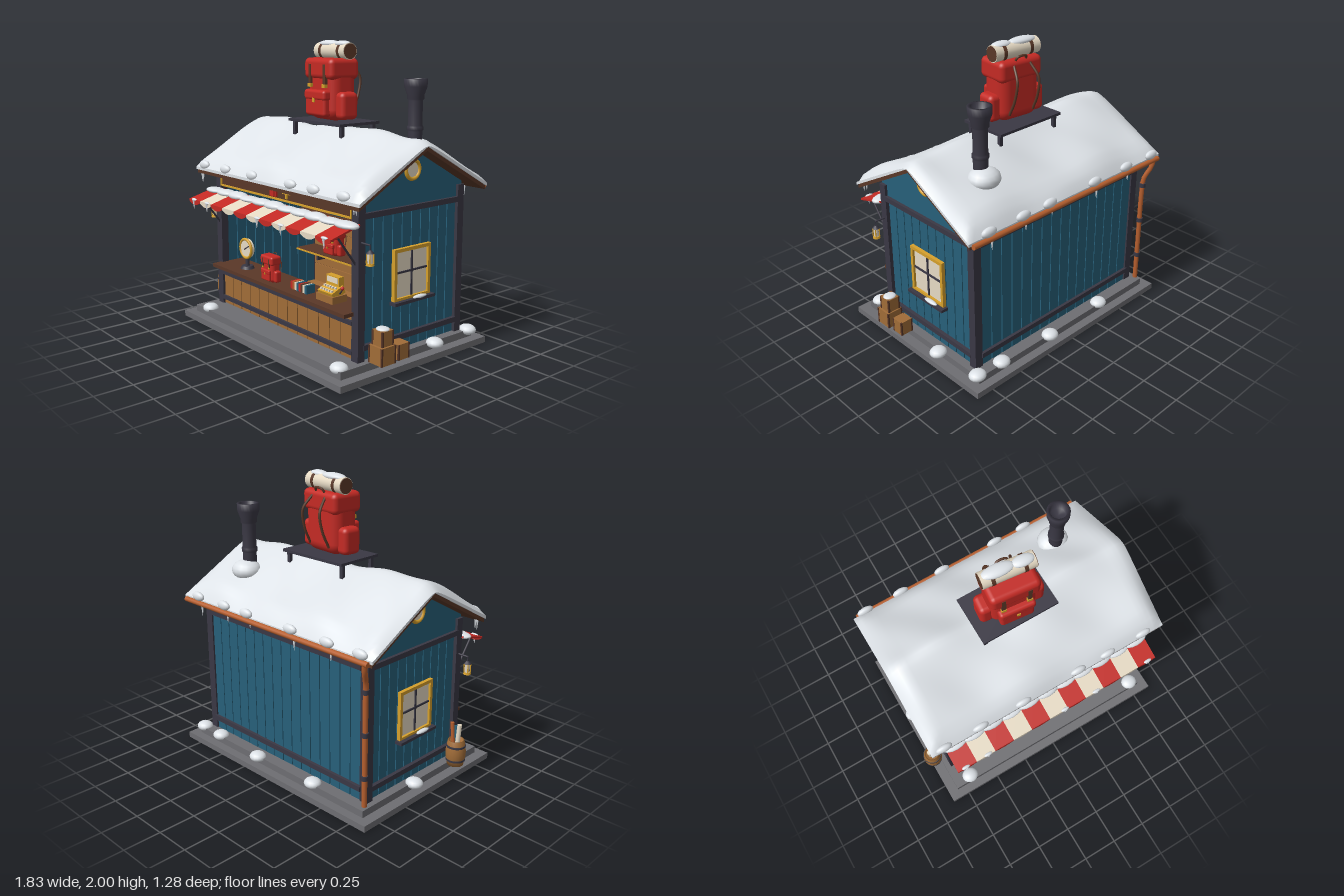
import * as THREE from 'three';
import { RoundedBoxGeometry } from 'three/addons/geometries/RoundedBoxGeometry.js';

const material = (name, color) => Object.assign(new THREE.MeshStandardMaterial({ color }), { name });
const M = {
  red: material('red canvas', 0xc42a24), blue: material('blue paint', 0x27607a),
  snow: material('snow', 0xe0e5ea), dark: material('dark iron', 0x3a3844),
  brown: material('dark brown', 0x5a3828), tan: material('tan wood', 0xa06c38),
  gold: material('gold', 0xd6a02c), cream: material('cream', 0xe6dac4),
  grey: material('grey stone', 0x6e6e72), copper: material('copper', 0xb8602f),
};

// Helpers
function add(parent, name, geo, mat, x = 0, y = 0, z = 0) {
  const m = new THREE.Mesh(geo, mat);
  m.name = name;
  m.position.set(x, y, z);
  parent.add(m);
  return m;
}
function group(parent, name, x = 0, y = 0, z = 0) {
  const g = new THREE.Group();
  g.name = name;
  g.position.set(x, y, z);
  parent.add(g);
  return g;
}
const box = (p, n, mat, w, h, d, x, y, z) => add(p, n, new THREE.BoxGeometry(w, h, d), mat, x, y, z);
const soft = (p, n, mat, w, h, d, x, y, z, k = 0.3) =>
  add(p, n, new RoundedBoxGeometry(w, h, d, 3, Math.min(w, h, d) * k), mat, x, y, z);
const cyl = (p, n, mat, r1, r2, h, x, y, z, seg = 20) =>
  add(p, n, new THREE.CylinderGeometry(r1, r2, h, seg), mat, x, y, z);
function rod(p, n, mat, a, b, r) {
  const A = new THREE.Vector3(...a), B = new THREE.Vector3(...b), d = B.clone().sub(A);
  const m = cyl(p, n, mat, r, r, d.length(), ...A.clone().add(B).multiplyScalar(0.5).toArray(), 10);
  m.quaternion.setFromUnitVectors(new THREE.Vector3(0, 1, 0), d.normalize());
  return m;
}
const tube = (p, n, mat, pts, r) =>
  add(p, n, new THREE.TubeGeometry(new THREE.CatmullRomCurve3(pts.map(a => new THREE.Vector3(...a))), 24, r, 8), mat);
const lump = (p, n, rx, ry, rz, x, y, z) => {
  const m = add(p, n, new THREE.SphereGeometry(1, 16, 10), M.snow, x, y, z);
  m.scale.set(rx, ry, rz);
  return m;
};
const icicle = (p, h, x, y, z) => { cyl(p, 'icicle', M.snow, 0.011, 0.001, h, x, y - h / 2, z, 8); };
// Profile given as [z, y] points, extruded along x
function extrudeX(points, width) {
  const g = new THREE.ExtrudeGeometry(new THREE.Shape(points.map(q => new THREE.Vector2(...q))), { depth: width, bevelEnabled: false });
  return g.translate(0, 0, -width / 2).rotateY(-Math.PI / 2);
}
const RIDGE = -0.045;
const roofY = z => 1.38 - 0.55 * Math.abs(z - RIDGE);

// Backpack standing on y = 0, front towards +z
function backpack(parent, name, mat, w, h, d, x, y, z, sides = false) {
  const g = group(parent, name, x, y, z);
  soft(g, 'body', mat, w, h * 0.96, d, 0, h * 0.48, 0, 0.35);
  soft(g, 'topFlap', mat, w * 1.04, h * 0.34, d * 1.1, 0, h * 0.83, 0.01 * h, 0.25);
  soft(g, 'frontPocket', mat, w * 0.72, h * 0.4, d * 0.34, 0, h * 0.27, d * 0.5);
  soft(g, 'pocketFlap', mat, w * 0.76, h * 0.17, d * 0.38, 0, h * 0.41, d * 0.51);
  box(g, 'pocketBuckle', M.gold, w * 0.07, h * 0.07, 0.008, 0, h * 0.33, d * 0.7);
  for (const s of [-1, 1]) {
    box(g, 'strap', M.brown, w * 0.085, h * 0.36, d * 0.1, s * w * 0.27, h * 0.72, d * 0.53);
    box(g, 'buckle', M.gold, w * 0.11, h * 0.06, d * 0.1, s * w * 0.27, h * 0.56, d * 0.55);
    if (sides) soft(g, 'sidePocket', mat, w * 0.3, h * 0.44, d * 0.65, s * w * 0.54, h * 0.25, 0, 0.35);
    tube(g, 'shoulderStrap', M.brown, [[s * w * 0.2, h * 0.92, -d * 0.5], [s * w * 0.27, h * 0.7, -d * 0.8],
      [s * w * 0.29, h * 0.4, -d * 0.72], [s * w * 0.3, h * 0.13, -d * 0.48]], w * 0.028);
  }
  tube(g, 'handle', M.brown, [[-w * 0.14, h * 0.95, -d * 0.4], [-w * 0.1, h * 1.04, -d * 0.5],
    [w * 0.1, h * 1.04, -d * 0.5], [w * 0.14, h * 0.95, -d * 0.4]], w * 0.025);
  return g;
}

function buildWalls(root) {
  const g = group(root, 'walls');
  box(g, 'lowerSlab', M.grey, 1.76, 0.042, 1.28, 0, 0.021, 0);
  box(g, 'upperSlab', M.grey, 1.62, 0.048, 1.16, 0, 0.066, 0);
  box(g, 'floor', M.tan, 1.44, 0.01, 0.85, 0, 0.095, -0.045);
  for (const s of [-1, 1]) {
    for (const z of [0.383, -0.477]) box(g, 'cornerPost', M.dark, 0.06, 1.0, 0.055, s * 0.742, 0.585, z);
    for (let i = 0; i < 10; i++) box(g, 'sidePlank', M.blue, 0.03, 0.94, 0.073, s * 0.735, 0.56, 0.314 - i * 0.0805);
    for (const y of [0.175, 0.99]) box(g, 'sideRail', M.dark, 0.025, 0.035, 0.82, s * 0.762, y, -0.047);
    const gable = [[-0.5, 1.0], [0.41, 1.0], [0.41, roofY(0.41)], [RIDGE, roofY(RIDGE)], [-0.5, roofY(-0.5)]];
    add(g, 'gable', extrudeX(gable, 0.03), M.blue, s * 0.738, -0.004, 0);
    // Round gable vent
    const vent = group(g, 'gableVent', s * 0.755, 1.225, RIDGE);
    vent.rotation.y = s * Math.PI / 2;
    add(vent, 'ring', new THREE.TorusGeometry(0.058, 0.013, 10, 28), M.gold);
    add(vent, 'pane', new THREE.CircleGeometry(0.055, 28), M.cream, 0, 0, 0.003);
    // Side window
    const win = group(g, 'window', s * 0.755, 0.575, RIDGE);
    win.rotation.y = s * Math.PI / 2;
    box(win, 'pane', M.cream, 0.29, 0.31, 0.008, 0, 0, 0);
    for (const k of [-1, 1]) {
      box(win, 'frameSide', M.gold, 0.022, 0.335, 0.03, k * 0.147, 0, 0.005);
      box(win, 'frameEdge', M.gold, 0.316, 0.022, 0.03, 0, k * 0.158, 0.005);
    }
    box(win, 'mullion', M.dark, 0.012, 0.3, 0.012, 0, 0, 0.006);
    box(win, 'crossbar', M.dark, 0.28, 0.012, 0.012, 0, 0.015, 0.006);
    box(win, 'sill', M.dark, 0.35, 0.02, 0.06, 0, -0.173, 0.018);
    lump(win, 'sillSnow', 0.06, 0.012, 0.018, 0.05, -0.16, 0.035);
  }
  // Back wall, planked outside and lined inside
  for (let i = 0; i < 16; i++) box(g, 'backPlank', M.blue, 0.082, 1.02, 0.025, -0.667 + i * 0.089, 0.6, -0.483);
  for (const y of [0.175, 0.99]) box(g, 'backRail', M.dark, 1.44, 0.035, 0.025, 0, y, -0.503);
  for (let i = 0; i < 7; i++) box(g, 'liningBoard', M.tan, 1.43, 0.138, 0.015, 0, 0.17 + i * 0.144, -0.462);
  box(g, 'liningBacking', M.brown, 1.43, 1.0, 0.006, 0, 0.6, -0.469);
}

function buildRoof(root) {
  const g = group(root, 'roof');
  const t = 0.026, f = 0.5, b = -0.59;
  add(g, 'roofBoards', extrudeX([[b, roofY(b) - t], [RIDGE, 1.38 - t], [f, roofY(f) - t], [f, roofY(f)], [RIDGE, 1.38], [b, roofY(b)]], 1.75), M.brown);
  // Wavy snow blanket that thins towards its edges
  const geo = new THREE.BoxGeometry(1.77, 1, 1.1, 48, 1, 36), p = geo.attributes.position;
  for (let i = 0; i < p.count; i++) {
    const x = p.getX(i), z = p.getZ(i) + RIDGE;
    const edge = Math.min(0.885 - Math.abs(x), 0.55 - Math.abs(z - RIDGE));
    const thick = 0.015 + Math.sqrt(Math.min(1, Math.max(0, edge) / 0.1)) *
      (0.052 + 0.012 * Math.sin(x * 7 + z * 5) + 0.008 * Math.sin(x * 13 - z * 11 + 1));
    const base = 1.38 - 0.55 * (Math.sqrt((z - RIDGE) ** 2 + 0.0012) - 0.012);
    p.setXYZ(i, x, p.getY(i) > 0 ? base + thick : roofY(z) + 0.001, z);
  }
  geo.computeVertexNormals();
  add(g, 'roofSnow', geo, M.snow);
  [-0.79, -0.52, -0.2, 0.22, 0.45, 0.73].forEach((x, i) => {
    for (const z of [0.492, -0.598]) lump(g, 'eaveSnow', 0.058, 0.032, 0.025, x, 1.12, z);
    icicle(g, 0.05 + 0.02 * (i % 3), x - 0.03, 1.075, -0.59);
  });
  for (const x of [-0.83, -0.815, 0.82, 0.84]) icicle(g, x < 0 ? 0.09 : 0.06, x, 1.085, 0.49);
  // Gutter and downspout
  rod(g, 'gutter', M.copper, [-0.86, 1.075, -0.605], [0.86, 1.075, -0.605], 0.018);
  tube(g, 'downspout', M.copper, [[-0.825, 1.08, -0.6], [-0.82, 1.02, -0.59], [-0.795, 0.92, -0.55], [-0.79, 0.8, -0.545], [-0.79, 0.4, -0.545], [-0.79, 0.1, -0.545]], 0.017);
  for (const y of [0.3, 0.59, 0.87]) cyl(g, 'pipeClamp', M.dark, 0.023, 0.023, 0.03, -0.79, y, -0.546, 14);
  // Chimney
  const profile = [[0, 1.15], [0.047, 1.15], [0.047, 1.42], [0.054, 1.43], [0.054, 1.45], [0.047, 1.46], [0.047, 1.62], [0.056, 1.63], [0.056, 1.655], [0.075, 1.71], [0.076, 1.758], [0.055, 1.758], [0.05, 1.7], [0, 1.7]];
  add(g, 'chimney', new THREE.LatheGeometry(profile.map(a => new THREE.Vector2(...a)), 24), M.dark, 0.52, 0, -0.3);
  lump(g, 'chimneySnow', 0.11, 0.07, 0.1, 0.52, 1.3, -0.33);
}

function buildRoofPack(root) {
  const stand = group(root, 'roofStand');
  box(stand, 'platform', M.dark, 0.545, 0.018, 0.345, 0, 1.463, -0.045);
  for (const x of [-0.245, 0.245]) for (const z of [0.09, -0.18]) box(stand, 'leg', M.dark, 0.025, 0.1, 0.025, x, 1.41, z);
  const g = backpack(root, 'roofBackpack', M.red, 0.32, 0.41, 0.21, 0, 1.475, -0.03, true);
  g.rotation.y = -0.1;
  const roll = group(g, 'bedroll', 0, 0.455, -0.025);
  const part = (n, m, r, w, x) => { cyl(roll, n, m, r, r, w, x, 0, 0, 24).rotation.z = Math.PI / 2; };
  part('rolledBlanket', M.cream, 0.055, 0.35, 0);
  for (const s of [-1, 1]) {
    part('rollEnd', M.brown, 0.05, 0.006, s * 0.176);
    part('rollStrap', M.brown, 0.058, 0.024, s * 0.105);
  }
  lump(roll, 'rollSnow', 0.11, 0.025, 0.045, -0.06, 0.046, 0);
  lump(roll, 'rollSnow', 0.075, 0.023, 0.04, 0.1, 0.046, 0.005);
}

function buildFront(root) {
  const g = group(root, 'shopFront');
  // Counter
  box(g, 'counterBacking', M.brown, 1.42, 0.28, 0.015, 0, 0.235, 0.375);
  for (let i = 0; i < 13; i++) box(g, 'counterPlank', M.tan, 0.102, 0.28, 0.02, -0.654 + i * 0.109, 0.235, 0.388);
  for (const y of [0.14, 0.328]) box(g, 'counterRail', M.dark, 1.44, 0.028, 0.02, 0, y, 0.405);
  box(g, 'counterTop', M.brown, 1.46, 0.024, 0.25, 0, 0.39, 0.36);
  // Sign board
  box(g, 'signBoard', M.brown, 1.42, 0.14, 0.02, 0, 1.04, 0.395);
  for (const s of [-1, 1]) {
    box(g, 'signFrameEdge', M.gold, 1.42, 0.012, 0.012, 0, 1.04 + s * 0.063, 0.409);
    box(g, 'signFrameSide', M.gold, 0.012, 0.13, 0.012, s * 0.704, 1.04, 0.409);
  }
  soft(g, 'signPack', M.red, 0.07, 0.085, 0.02, -0.07, 1.03, 0.41);
  box(g, 'signPackPocket', M.red, 0.045, 0.035, 0.01, -0.07, 1.012, 0.422);
  box(g, 'signCross', M.gold, 0.08, 0.02, 0.01, 0.07, 1.032, 0.41);
  box(g, 'signCross', M.gold, 0.02, 0.08, 0.01, 0.07, 1.032, 0.41);
  // Striped awning with scalloped edge
  const awning = group(root, 'awning');
  const scallop = new THREE.Shape();
  scallop.moveTo(-0.071, 0); scallop.lineTo(-0.071, -0.014);
  scallop.quadraticCurveTo(0, -0.058, 0.071, -0.014); scallop.lineTo(0.071, 0);
  const scallopGeo = new THREE.ExtrudeGeometry(scallop, { depth: 0.008, bevelEnabled: false });
  for (let i = 0; i < 11; i++) {
    const mat = i % 2 ? M.cream : M.red, x = (i - 5) * 0.142;
    box(awning, 'stripe', mat, 0.142, 0.012, 0.23, x, 0.917, 0.518).rotation.x = 0.266;
    add(awning, 'valance', scallopGeo, mat, x, 0.894, 0.624);
    lump(awning, 'awningSnow', 0.1, 0.02 + 0.005 * (i % 3), 0.055, x, 0.942, 0.452);
  }
  for (const x of [-0.72, -0.55, 0.05, 0.3, 0.72]) {
    lump(awning, 'edgeSnow', 0.03, 0.01, 0.012, x, 0.893, 0.627);
    icicle(awning, 0.055, x, 0.885, 0.63);
  }
  for (const s of [-1, 1]) {
    rod(awning, 'strut', M.dark, [s * 0.74, 0.7, 0.405], [s * 0.74, 0.905, 0.56], 0.007);
    // Hanging lantern
    const l = group(root, 'lantern', s * 0.845, 0, 0.385);
    rod(l, 'bracket', M.dark, [-s * 0.08, 0.835, 0], [0, 0.835, 0], 0.006);
    rod(l, 'hook', M.dark, [0, 0.838, 0], [0, 0.8, 0], 0.004);
    cyl(l, 'cap', M.dark, 0.008, 0.026, 0.02, 0, 0.796, 0, 8);
    cyl(l, 'glass', M.cream, 0.018, 0.016, 0.06, 0, 0.756, 0, 8);
    for (const [x, z] of [[1, 1], [1, -1], [-1, 1], [-1, -1]]) rod(l, 'cageBar', M.gold, [x * 0.015, 0.725, z * 0.015], [x * 0.015, 0.787, z * 0.015], 0.004);
    cyl(l, 'foot', M.gold, 0.023, 0.026, 0.014, 0, 0.72, 0, 8);
  }
}

function buildGoods(root) {
  const g = group(root, 'goods');
  // Back shelves
  for (const y of [0.39, 0.7]) {
    box(g, 'shelf', M.brown, 1.43, 0.018, 0.18, 0, y, -0.365);
    box(g, 'shelfEdge', M.gold, 1.43, 0.012, 0.008, 0, y, -0.272);
    for (const x of [-0.53, 0, 0.53]) box(g, 'shelfBracket', M.dark, 0.014, 0.06, 0.12, x, y - 0.038, -0.39);
  }
  [['tan', 0.12, -0.53], ['blue', 0.17, -0.27], ['red', 0.2, 0.06], ['tan', 0.24, 0.46]].forEach(([c, w, x]) =>
    backpack(g, 'shelfPack', M[c], w, 0.17, 0.1, x, 0.71, -0.35));
  backpack(g, 'smallPack', M.red, 0.15, 0.2, 0.1, -0.35, 0.4, -0.35, true);
  backpack(g, 'largePack', M.blue, 0.19, 0.23, 0.11, 0.03, 0.4, -0.35, true);
  backpack(g, 'smallPack', M.red, 0.17, 0.2, 0.1, 0.44, 0.4, -0.35, true);
  backpack(g, 'counterPack', M.red, 0.13, 0.18, 0.075, -0.11, 0.402, 0.41, true);
  // Dial scale
  const s = group(g, 'scale', -0.465, 0.402, 0.36);
  cyl(s, 'base', M.dark, 0.04, 0.05, 0.02, 0, 0.01, 0);
  cyl(s, 'stem', M.dark, 0.013, 0.016, 0.08, 0, 0.05, 0);
  add(s, 'rim', new THREE.TorusGeometry(0.067, 0.01, 10, 28), M.gold, 0, 0.145, 0.012);
  cyl(s, 'dial', M.cream, 0.067, 0.067, 0.03, 0, 0.145, 0, 28).rotation.x = Math.PI / 2;
  rod(s, 'needle', M.dark, [-0.01, 0.138, 0.019], [0.045, 0.17, 0.019], 0.004);
  // Row of books
  ['red', 'copper', 'cream', 'blue', 'red', 'brown', 'cream', 'blue'].forEach((c, i) =>
    box(g, 'book', M[c], 0.019, 0.05 + 0.006 * (i % 2), 0.07, 0.125 + i * 0.021, 0.43, 0.38));
  // Cash register
  const r = group(g, 'cashRegister', 0.465, 0.402, 0.36);
  box(r, 'drawer', M.tan, 0.16, 0.045, 0.12, 0, 0.0225, 0);
  box(r, 'keyboard', M.gold, 0.14, 0.05, 0.1, 0, 0.06, 0).rotation.x = 0.4;
  box(r, 'display', M.gold, 0.12, 0.06, 0.04, 0, 0.125, -0.03);
  box(r, 'displayPanel', M.cream, 0.1, 0.035, 0.006, 0, 0.13, -0.009);
  for (let i = 0; i < 10; i++) box(r, 'key', M.cream, 0.014, 0.012, 0.014, -0.05 + (i % 5) * 0.025, i < 5 ? 0.075 : 0.09, i < 5 ? 0.04 : 0.01);
  rod(r, 'crank', M.dark, [0.08, 0.06, 0], [0.105, 0.09, 0], 0.005);
  add(r, 'crankKnob', new THREE.SphereGeometry(0.012, 10, 8), M.red, 0.105, 0.1, 0);
}

function buildYard(root) {
  // Barrel with rolled goods
  const b = group(root, 'barrel', -0.855, 0.09, 0.29);
  const prof = [[0, 0], [0.055, 0], [0.065, 0.05], [0.068, 0.09], [0.065, 0.13], [0.055, 0.18], [0.047, 0.18], [0.045, 0.16], [0, 0.16]];
  add(b, 'staves', new THREE.LatheGeometry(prof.map(a => new THREE.Vector2(...a)), 20), M.tan);
  for (const y of [0.04, 0.14]) cyl(b, 'hoop', M.dark, 0.066, 0.066, 0.014, 0, y, 0);
  rod(b, 'roll', M.cream, [-0.01, 0.15, 0], [-0.015, 0.29, 0.01], 0.016);
  rod(b, 'roll', M.blue, [0.01, 0.15, 0.015], [0.025, 0.265, 0.025], 0.016);
  rod(b, 'roll', M.copper, [0.01, 0.15, -0.02], [0.02, 0.31, -0.025], 0.013);
  // Crates
  const crate = (w, h, x, y, z) => {
    const c = group(root, 'crate', x, y + h / 2, z);
    box(c, 'crateBody', M.tan, w, h, w, 0, 0, 0);
    for (const s of [-1, 1]) for (const t of [-1, 1]) box(c, 'crateCorner', M.brown, 0.012, h, 0.012, s * (w / 2 - 0.004), 0, t * (w / 2 - 0.004));
  };
  crate(0.115, 0.115, 0.852, 0.09, 0.285);
  crate(0.09, 0.1, 0.852, 0.09, 0.145);
  crate(0.09, 0.095, 0.85, 0.205, 0.28);
  lump(root, 'crateSnow', 0.045, 0.014, 0.04, 0.85, 0.302, 0.28);
  // Drifts around the footing
  for (const [x, z] of [[-0.68, 0.54], [0.75, 0.54], [0.83, -0.2], [0.8, -0.55], [0.17, -0.58], [-0.35, -0.56], [0.6, -0.56], [-0.82, -0.1]])
    lump(root, 'snowDrift', 0.06, 0.035, 0.055, x, 0.09, z);
}

export function createModel() {
  const root = new THREE.Group();
  root.name = 'snowyShop';
  [buildWalls, buildRoof, buildRoofPack, buildFront, buildGoods, buildYard].forEach(f => f(root));
  return root;
}
